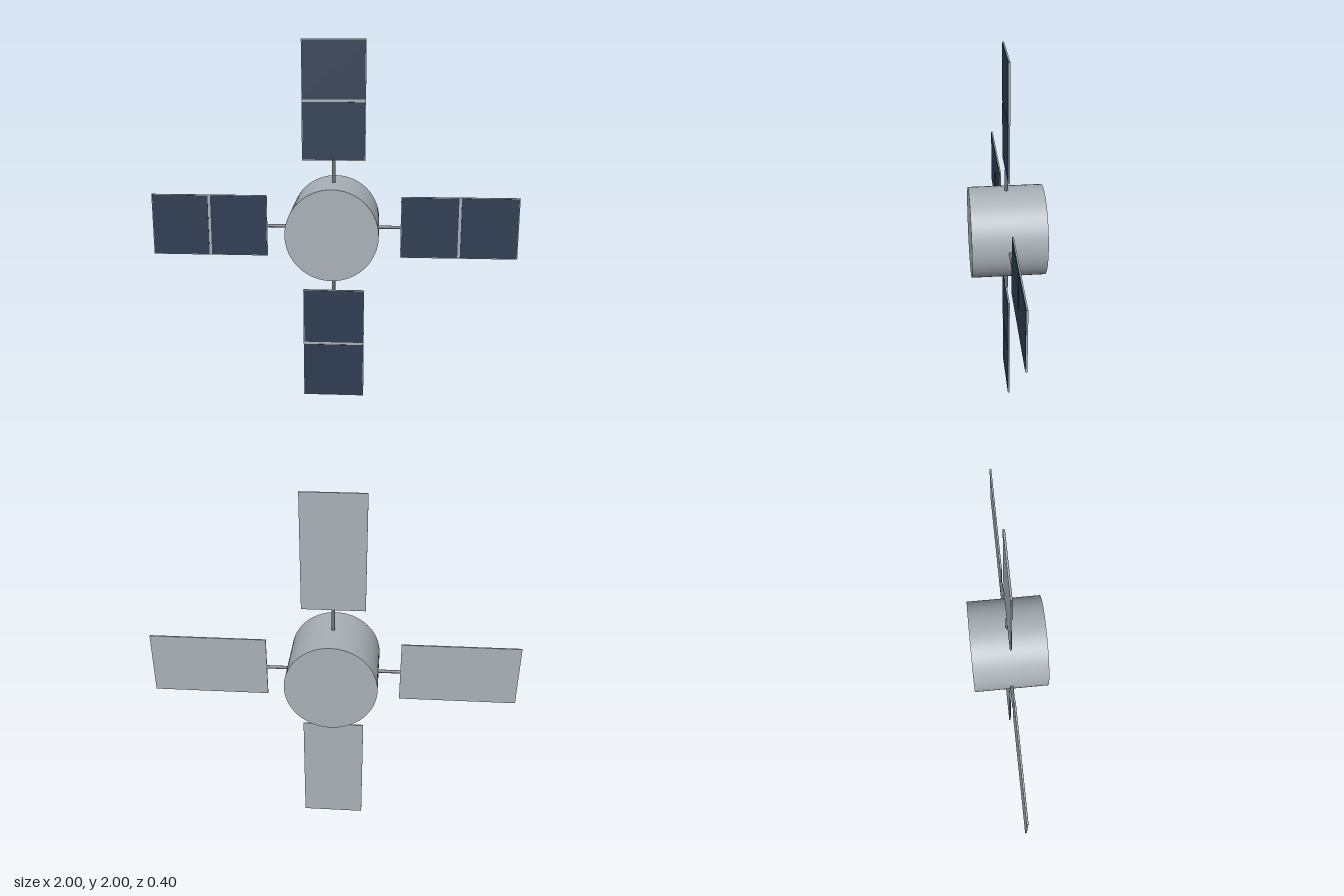
import * as THREE from 'three';

const BODY_RADIUS = 0.247, BODY_LENGTH = 0.4;
const PANEL_INNER = 0.365, PANEL_OUTER = 1, PANEL_WIDTH = 0.34, PANEL_DEPTH = 0.008;
const CELL_GAP = 0.014, CELL_MARGIN = 0.004, CELL_DEPTH = 0.003;

export function createModel() {
  const hull = new THREE.MeshStandardMaterial({ color: 0xa9b0b6 });
  hull.name = 'hullGrey';
  const navy = new THREE.MeshStandardMaterial({ color: 0x2e3d52 });
  navy.name = 'cellNavy';
  const strut = new THREE.MeshStandardMaterial({ color: 0x70767c });
  strut.name = 'strutGrey';

  const add = (parent, name, geometry, material, x = 0, y = 0, z = 0) => {
    const mesh = new THREE.Mesh(geometry, material);
    mesh.name = name;
    mesh.position.set(x, y, z);
    parent.add(mesh);
    return mesh;
  };

  const model = new THREE.Group();
  model.name = 'satellite';

  // Drum body lying along z
  const drum = new THREE.CylinderGeometry(BODY_RADIUS, BODY_RADIUS, BODY_LENGTH, 64).rotateX(Math.PI / 2);
  add(model, 'body', drum, hull, 0, 1, 0);

  // One wing pointing up, repeated every quarter turn
  const length = PANEL_OUTER - PANEL_INNER;
  const middle = (PANEL_OUTER + PANEL_INNER) / 2;
  const cellLength = (length - CELL_GAP) / 2 - CELL_MARGIN;
  const armStart = BODY_RADIUS - 0.03;
  const armLength = PANEL_INNER + 0.002 - armStart;

  const armGeometry = new THREE.CylinderGeometry(0.009, 0.009, armLength, 20);
  const panelGeometry = new THREE.BoxGeometry(PANEL_WIDTH, length, PANEL_DEPTH);
  const cellGeometry = new THREE.BoxGeometry(PANEL_WIDTH - 2 * CELL_MARGIN, cellLength, CELL_DEPTH);

  ['topWing', 'leftWing', 'bottomWing', 'rightWing'].forEach((name, i) => {
    const wing = new THREE.Group();
    wing.name = name;
    wing.position.y = 1;
    wing.rotation.z = -i * Math.PI / 2;
    add(wing, 'arm', armGeometry, strut, 0, armStart + armLength / 2, 0);
    add(wing, 'panel', panelGeometry, hull, 0, middle, 0);
    // Two solar cells on the front face with a bare strip between
    for (const side of [-1, 1]) {
      add(wing, side < 0 ? 'innerCell' : 'outerCell', cellGeometry, navy,
        0, middle + side * (CELL_GAP + cellLength) / 2, PANEL_DEPTH / 2 + CELL_DEPTH / 2 - 0.001);
    }
    model.add(wing);
  });

  return model;
}
